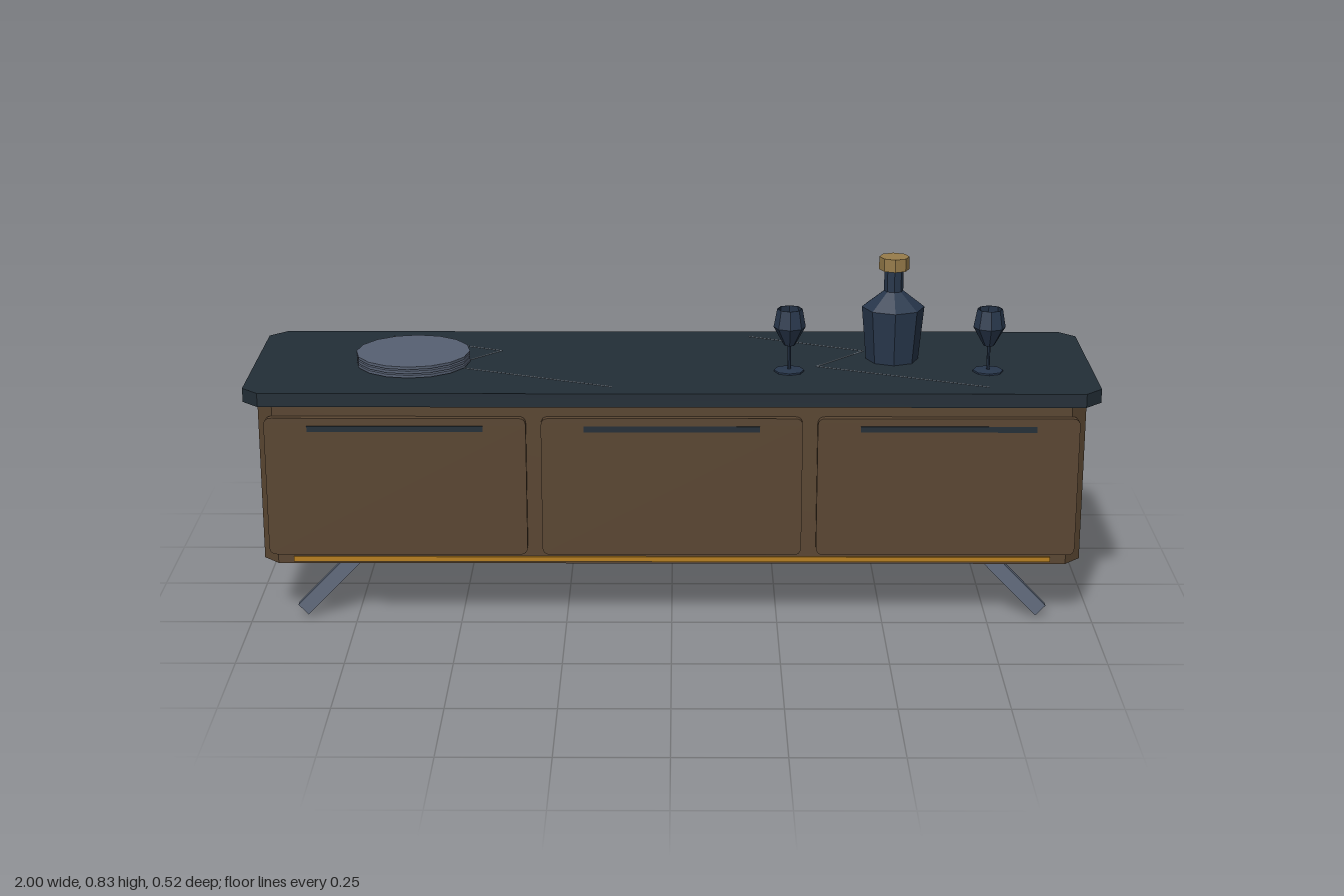
import * as THREE from 'three';

const mat = (name, color, extra = {}) => {
  const m = new THREE.MeshStandardMaterial({ color, flatShading: true, ...extra });
  m.name = name;
  return m;
};

export function createModel() {
  const root = new THREE.Group();
  root.name = 'sideboard';
  const wood = mat('walnut', 0x5a4632);
  const stone = mat('dark stone', 0x232e37);
  const brass = mat('brass trim', 0xb8801f);
  const cap = mat('stopper gold', 0x977c4a);
  const steel = mat('steel', 0x566072);
  const vein = mat('vein', 0x77808a);
  const glass = mat('smoked glass', 0x28374c, { side: THREE.DoubleSide });

  const add = (name, geo, material, x = 0, y = 0, z = 0, parent = root) => {
    const m = new THREE.Mesh(geo, material);
    m.name = name;
    m.position.set(x, y, z);
    parent.add(m);
    return m;
  };

  // Box with four chamfered vertical edges, base at y = 0
  const chamferedSlab = (hx, hz, c, h) => {
    const s = new THREE.Shape([
      [hx, -hz + c], [hx, hz - c], [hx - c, hz], [-hx + c, hz],
      [-hx, hz - c], [-hx, -hz + c], [-hx + c, -hz], [hx - c, -hz],
    ].map(([x, y]) => new THREE.Vector2(x, y)));
    return new THREE.ExtrudeGeometry(s, { depth: h, bevelEnabled: false }).rotateX(-Math.PI / 2);
  };

  // Rounded door panel, centred in x and y
  const doorPanel = (w, h, r, d) => {
    const x = w / 2, y = h / 2, s = new THREE.Shape();
    s.moveTo(-x + r, -y).lineTo(x - r, -y).quadraticCurveTo(x, -y, x, -y + r);
    s.lineTo(x, y - r).quadraticCurveTo(x, y, x - r, y);
    s.lineTo(-x + r, y).quadraticCurveTo(-x, y, -x, y - r);
    s.lineTo(-x, -y + r).quadraticCurveTo(-x, -y, -x + r, -y);
    return new THREE.ExtrudeGeometry(s, { depth: d, bevelEnabled: false, curveSegments: 4 });
  };

  const lathe = (pts, n) =>
    new THREE.LatheGeometry(pts.map(([x, y]) => new THREE.Vector2(x, y)), n);

  // Cabinet and worktop
  add('cabinetBody', chamferedSlab(0.97, 0.232, 0.038, 0.398), wood, 0, 0.143, 0);
  add('worktop', chamferedSlab(1, 0.26, 0.04, 0.033), stone, 0, 0.54, 0);
  add('brassStrip', new THREE.BoxGeometry(1.79, 0.012, 0.008), brass, 0, 0.155, 0.233);

  // Doors with dark grip strips
  for (const x of [-0.645, 0, 0.645]) {
    add('door', doorPanel(0.61, 0.338, 0.018, 0.017), wood, x, 0.34, 0.231);
    add('doorGrip', new THREE.BoxGeometry(0.41, 0.014, 0.004), stone, x, 0.483, 0.248);
  }

  // Splayed legs
  for (const sx of [-1, 1]) for (const sz of [-1, 1]) {
    const foot = new THREE.Vector3(0.882 * sx, 0.0145, 0.199 * sz);
    const top = new THREE.Vector3(0.735 * sx, 0.158, 0.166 * sz);
    const dir = top.clone().sub(foot);
    const mid = foot.clone().add(top).multiplyScalar(0.5);
    const leg = add('leg', new THREE.BoxGeometry(0.034, dir.length(), 0.033), steel, mid.x, mid.y, mid.z);
    leg.quaternion.setFromUnitVectors(new THREE.Vector3(0, 1, 0), dir.normalize());
  }

  // Zigzag veins inlaid in the worktop
  const zigzag = [[0.19, -0.215], [0.465, -0.09], [0.345, 0.04], [0.74, 0.205]];
  for (const dx of [0, -0.88]) for (let i = 0; i < 3; i++) {
    const [ax, az] = zigzag[i], [bx, bz] = zigzag[i + 1];
    const len = Math.hypot(bx - ax, bz - az);
    const v = add('vein', new THREE.BoxGeometry(len, 0.001, 0.003), vein, (ax + bx) / 2 + dx, 0.5733, (az + bz) / 2);
    v.rotation.y = -Math.atan2(bz - az, bx - ax);
  }

  // Stack of plates on narrower feet
  for (let i = 0; i < 3; i++) {
    const y = 0.573 + i * 0.0102;
    add('plateFoot', new THREE.CylinderGeometry(0.1, 0.1, 0.004, 16), steel, -0.62, y + 0.002, 0.014);
    add('plate', new THREE.CylinderGeometry(0.136, 0.136, 0.0065, 16), steel, -0.62, y + 0.0068, 0.014);
  }

  // Decanter with stopper
  const decanter = new THREE.Group();
  decanter.name = 'decanter';
  decanter.position.set(0.53, 0.573, -0.028);
  root.add(decanter);
  add('bottle', lathe([[0, 0], [0.063, 0], [0.075, 0.13], [0.023, 0.17], [0.023, 0.223], [0, 0.223]], 8), glass, 0, 0, 0, decanter);
  add('stopper', new THREE.CylinderGeometry(0.036, 0.036, 0.031, 8), cap, 0, 0.238, 0, decanter);

  // Open goblets
  for (const x of [0.278, 0.75]) {
    add('goblet', lathe([
      [0, 0], [0.036, 0], [0.036, 0.004], [0.004, 0.006], [0.004, 0.064],
      [0.013, 0.065], [0.038, 0.11], [0.03, 0.154], [0.028, 0.154], [0.035, 0.11], [0.011, 0.068], [0, 0.068],
    ], 8), glass, x, 0.573, 0.079);
  }
  return root;
}
